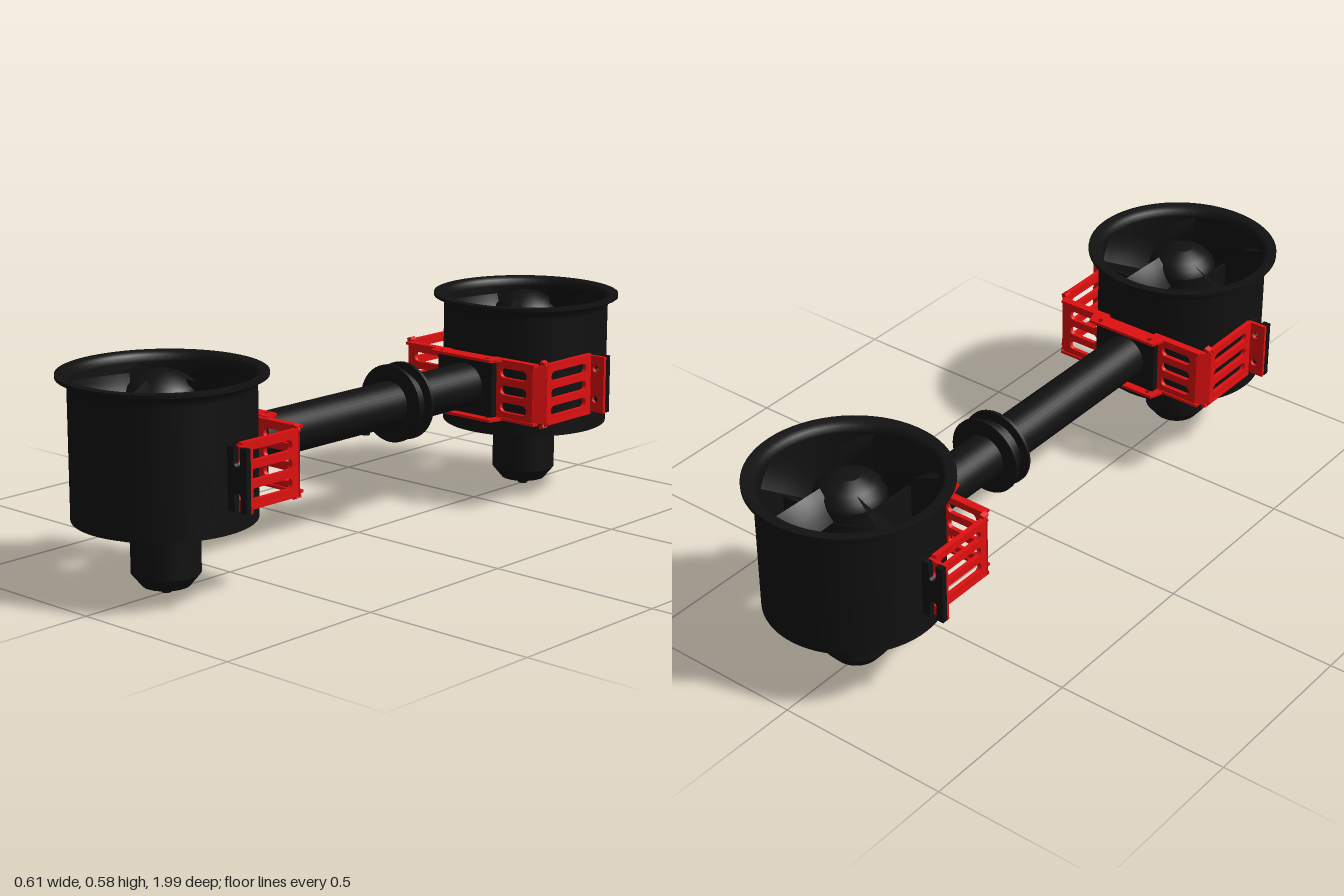
import * as THREE from 'three';

const black = new THREE.MeshStandardMaterial({ color: 0x111111, side: THREE.DoubleSide });
const red = new THREE.MeshStandardMaterial({ color: 0xe01010, side: THREE.DoubleSide });

const PIPE_Y = 0.345, UNIT_Z = 0.727;

function add(parent, name, geometry, material, x = 0, y = 0, z = 0) {
  const mesh = new THREE.Mesh(geometry, material);
  mesh.name = name;
  mesh.position.set(x, y, z);
  parent.add(mesh);
  return mesh;
}
const box = (w, h, d) => new THREE.BoxGeometry(w, h, d);

// Lathe whose corners stay sharp: one band per straight run of the profile.
function turned(parent, name, runs, material, segments = 48) {
  const group = new THREE.Group();
  group.name = name;
  for (const run of runs) {
    const pts = run.map(([r, y]) => new THREE.Vector2(r, y));
    add(group, name + 'Band', new THREE.LatheGeometry(pts, segments), material);
  }
  parent.add(group);
  return group;
}
const sharp = (profile) => profile.slice(1).map((p, i) => [profile[i], p]);

function rectPath(path, x0, y0, x1, y1) {
  return path.moveTo(x0, y0).lineTo(x1, y0).lineTo(x1, y1).lineTo(x0, y1).closePath();
}
function slotPath(x0, x1, y, r) {
  const p = new THREE.Path();
  p.moveTo(x0 + r, y - r).lineTo(x1 - r, y - r);
  p.absarc(x1 - r, y, r, -Math.PI / 2, Math.PI / 2);
  p.lineTo(x0 + r, y + r);
  p.absarc(x0 + r, y, r, Math.PI / 2, Math.PI * 1.5);
  return p;
}
function plate(shape, depth) {
  return new THREE.ExtrudeGeometry(shape, { depth, bevelEnabled: false, curveSegments: 8 });
}

// Panel of given length with three long slots, lying in xy from x = 0.
function slottedPanel(length) {
  const shape = rectPath(new THREE.Shape(), 0, -0.084, length, 0.084);
  for (const y of [-0.05, 0, 0.05]) shape.holes.push(slotPath(0.022, length - 0.022, y, 0.014));
  return plate(shape, 0.012);
}

// Twisted fan blade along +x, widening to the tip.
function bladeGeometry() {
  const g = new THREE.PlaneGeometry(1, 1, 8, 4);
  const p = g.attributes.position;
  for (let i = 0; i < p.count; i++) {
    const u = p.getX(i) + 0.5, v = p.getY(i);
    const r = 0.08 + u * 0.148;
    const width = 0.05 + 0.045 * u, pitch = 0.075 - 0.035 * u;
    p.setXYZ(i, r, 0.535 + v * pitch + 0.01 * (0.25 - v * v), v * width);
  }
  g.computeVertexNormals();
  return g;
}

function fanUnit() {
  const unit = new THREE.Group();
  unit.name = 'fanUnit';
  // Duct with flared lip, open at both ends
  const lip = [];
  for (let i = 0; i <= 8; i++) {
    const a = (i / 8) * Math.PI / 2;
    lip.push([0.265 - 0.025 * Math.cos(a), 0.54 + 0.03 * Math.sin(a)]);
  }
  turned(unit, 'duct', [
    [[0.228, 0.2], [0.24, 0.2]], [[0.24, 0.2], ...lip],
    [[0.265, 0.57], [0.27, 0.57]], [[0.27, 0.57], [0.27, 0.579]],
    [[0.27, 0.579], [0.245, 0.579], [0.235, 0.572], [0.228, 0.555], [0.228, 0.2]],
  ], black, 64);
  // Motor housing with chamfered end and shaft nut
  turned(unit, 'motorHousing', sharp([
    [0, 0], [0.013, 0], [0.016, 0.004], [0.016, 0.011], [0.028, 0.011], [0.028, 0.02],
    [0.063, 0.02], [0.091, 0.054], [0.091, 0.49], [0, 0.49],
  ]), black);
  // Spinner
  turned(unit, 'spinner', [
    [[0.095, 0.495], [0.095, 0.525]],
    [[0.095, 0.525], [0.088, 0.545], [0.07, 0.562], [0.045, 0.575], [0.03, 0.581]],
    [[0.03, 0.581], [0, 0.583]],
  ], black);
  // Fan blades
  const blade = bladeGeometry();
  for (let i = 0; i < 5; i++) {
    add(unit, 'fanBlade', blade, black).rotation.y = Math.PI / 2 + i * Math.PI * 0.4;
  }
  // Stator vanes holding the motor
  for (let i = 0; i < 4; i++) {
    const arm = new THREE.Group();
    arm.name = 'statorVane';
    arm.rotation.y = i * Math.PI / 2;
    add(arm, 'vane', box(0.145, 0.2, 0.01), black, 0.158, 0.32, 0);
    unit.add(arm);
  }
  return unit;
}

// Bracket around the inner half of a duct; the pipe side is +z.
function bracket() {
  const group = new THREE.Group();
  group.name = 'bracket';
  // Centre plate behind the pipe, with drilled lips above and below
  add(group, 'centrePlate', box(0.2, 0.164, 0.025), black, 0, PIPE_Y, 0.262);
  const lipShape = new THREE.Shape();
  lipShape.moveTo(-0.125, 0.25).lineTo(0.125, 0.25).lineTo(0.11, 0.297).lineTo(-0.11, 0.297).closePath();
  for (const s of [-1, 1]) {
    const hole = new THREE.Path();
    hole.absarc(s * 0.085, 0.28, 0.008, 0, Math.PI * 2);
    lipShape.holes.push(hole);
  }
  for (const y of [0.262, 0.436]) {
    add(group, 'centreLip', plate(lipShape, 0.008), red, 0, y, 0).rotation.x = Math.PI / 2;
  }

  for (const s of [-1, 1]) {
    const half = new THREE.Group();
    half.name = s > 0 ? 'bracketLeft' : 'bracketRight';
    half.scale.x = s;
    // Inner panel, corner strip and side panel
    add(half, 'innerPanel', slottedPanel(0.14), red, 0.092, PIPE_Y, 0.242);
    add(half, 'cornerStrip', box(0.042, 0.168, 0.012), red, 0.242, PIPE_Y, 0.235).rotation.y = Math.PI / 4;
    const side = add(half, 'sidePanel', slottedPanel(0.205), red, 0.246, PIPE_Y, 0.223);
    side.rotation.y = Math.PI / 2;
    // Rolled rims along panel edges
    for (const e of [-1, 1]) {
      const y = PIPE_Y + e * 0.085;
      add(half, 'innerRim', box(0.16, 0.008, 0.022), red, 0.16, y, 0.247);
      add(half, 'sideRim', box(0.014, 0.008, 0.2), red, 0.254, y, 0.12);
      const hook = add(half, 'rimHook', new THREE.TorusGeometry(0.013, 0.0035, 8, 12, Math.PI / 2), red,
        0.246, PIPE_Y + e * 0.08, 0.225);
      hook.scale.y = e;
      const lip = add(half, 'hookLip', box(0.014, 0.01, 0.02), red, 0.249, PIPE_Y + e * 0.092, 0.225);
      lip.rotation.z = -e * 0.4;
    }
    // Drilled red ear
    const ear = rectPath(new THREE.Shape(), 0.246, 0.262, 0.303, 0.428);
    for (const y of [0.3, 0.39]) {
      const hole = new THREE.Path();
      hole.absarc(0.273, y, 0.0105, 0, Math.PI * 2);
      ear.holes.push(hole);
    }
    add(half, 'ear', plate(ear, 0.01), red, 0, 0, 0.006);
    // Notched black tab fixed to the duct
    const tab = new THREE.Shape();
    tab.moveTo(0.232, 0.264).lineTo(0.262, 0.264).lineTo(0.262, 0.305);
    tab.absarc(0.273, 0.305, 0.011, Math.PI, 0, true);
    tab.lineTo(0.284, 0.264).lineTo(0.305, 0.264).lineTo(0.305, 0.43).lineTo(0.284, 0.43).lineTo(0.284, 0.39);
    tab.absarc(0.273, 0.39, 0.011, 0, Math.PI, true);
    tab.lineTo(0.262, 0.43).lineTo(0.232, 0.43).closePath();
    add(half, 'ductTab', plate(tab, 0.016), black, 0, 0, -0.01);
    group.add(half);
  }
  return group;
}

export function createModel() {
  const model = new THREE.Group();
  model.name = 'twinDuctedFan';

  for (const s of [-1, 1]) {
    const unit = new THREE.Group();
    unit.name = s > 0 ? 'frontUnit' : 'rearUnit';
    unit.position.z = s * UNIT_Z;
    const mount = bracket();
    if (s > 0) mount.rotation.y = Math.PI;
    unit.add(fanUnit(), mount);
    model.add(unit);
  }

  // Connecting pipe
  const pipe = new THREE.Group();
  pipe.name = 'pipe';
  pipe.position.y = PIPE_Y;
  pipe.rotation.x = Math.PI / 2;
  add(pipe, 'pipeTube', new THREE.CylinderGeometry(0.064, 0.064, 0.95, 40), black);
  // Grooved collar, off centre
  const collar = turned(pipe, 'collar', sharp([
    [0.064, -0.03], [0.11, -0.03], [0.11, -0.021], [0.087, -0.016],
    [0.087, 0.016], [0.11, 0.021], [0.11, 0.03], [0.064, 0.03],
  ]), black);
  collar.position.y = -0.16;
  model.add(pipe);
  // Small boss under the pipe
  add(model, 'pipeBoss', new THREE.CylinderGeometry(0.012, 0.012, 0.012, 16), black, 0, 0.281, -0.03);

  return model;
}
